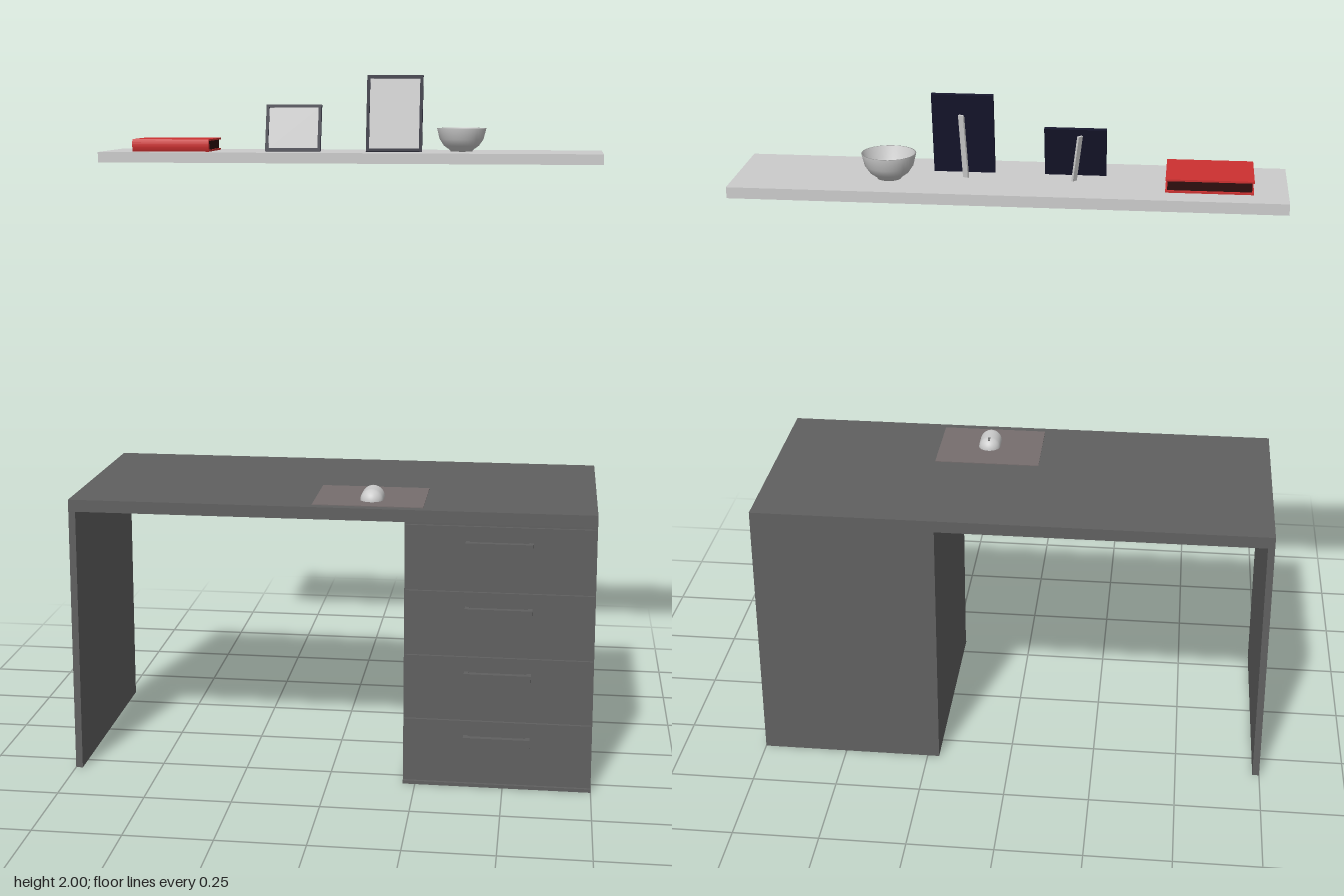
import * as THREE from 'three';

const mat = (color, side = THREE.FrontSide) => new THREE.MeshStandardMaterial({ color, side });
const grey = mat(0xcccccc);
const greyThin = mat(0xcccccc, THREE.DoubleSide);
const deskGrey = mat(0x606060);
const matGrey = mat(0x766e6e);
const red = mat(0xcc3030);
const pagesDark = mat(0x2c0a0a);
const navy = mat(0x16162c);

function add(parent, name, geometry, material) {
  const mesh = new THREE.Mesh(geometry, material);
  mesh.name = name;
  parent.add(mesh);
  return mesh;
}

// Box given by its limits on each axis
function box(parent, name, material, [x0, x1], [y0, y1], [z0, z1]) {
  const mesh = add(parent, name, new THREE.BoxGeometry(x1 - x0, y1 - y0, z1 - z0), material);
  mesh.position.set((x0 + x1) / 2, (y0 + y1) / 2, (z0 + z1) / 2);
  return mesh;
}

function group(parent, name) {
  const g = new THREE.Group();
  g.name = name;
  parent.add(g);
  return g;
}

const BACK = -0.333, FRONT = 0.31, SHELF = 1.78;

function buildDesk(root) {
  const desk = group(root, 'desk');
  box(desk, 'deskTop', deskGrey, [-0.75, 0.75], [0.775, 0.81], [BACK, FRONT]);
  box(desk, 'sidePanel', deskGrey, [-0.75, -0.73], [0, 0.775], [BACK, FRONT]);
  box(desk, 'cabinetBody', deskGrey, [0.215, 0.75], [0, 0.775], [BACK, 0.302]);
  box(desk, 'cabinetPlinth', deskGrey, [0.215, 0.75], [0, 0.01], [0.302, FRONT]);

  // Four drawers, each with a bar handle on two posts
  for (let i = 0; i < 4; i++) {
    const drawer = group(desk, 'drawer');
    const y = 0.015 + i * 0.19;
    box(drawer, 'drawerFront', deskGrey, [0.218, 0.747], [y, y + 0.183], [0.3, FRONT]);
    const h = [0.132 + i * 0.19, 0.156 + i * 0.19];
    box(drawer, 'handleBar', deskGrey, [0.387, 0.575], h, [0.318, 0.333]);
    for (const x of [0.387, 0.563]) box(drawer, 'handlePost', deskGrey, [x, x + 0.012], h, [0.308, 0.32]);
  }
}

function buildMouse(root) {
  box(root, 'mouseMat', matGrey, [-0.05, 0.265], [0.81, 0.812], [0.045, 0.285]);
  const mouse = group(root, 'mouse');
  mouse.position.set(0.112, 0.811, 0.186);
  // Capsule lying along z with its lower half pressed flat
  const body = new THREE.CapsuleGeometry(0.033, 0.044, 10, 28).rotateX(Math.PI / 2);
  const p = body.attributes.position;
  for (let i = 0; i < p.count; i++) p.setY(i, Math.max(p.getY(i), 0));
  body.computeVertexNormals();
  add(mouse, 'mouseBody', body, grey);
  const wheel = add(mouse, 'mouseWheel', new THREE.CylinderGeometry(0.008, 0.008, 0.006, 16).rotateZ(Math.PI / 2), deskGrey);
  wheel.position.set(0, 0.027, -0.032);
}

function buildBook(root) {
  const book = group(root, 'book');
  const x = [-0.635, -0.405];
  box(book, 'bottomCover', red, x, [SHELF, SHELF + 0.005], [-0.265, -0.085]);
  box(book, 'topCover', red, x, [SHELF + 0.031, SHELF + 0.036], [-0.265, -0.085]);
  box(book, 'pages', pagesDark, [x[0] + 0.005, x[1] - 0.005], [SHELF + 0.005, SHELF + 0.031], [-0.258, -0.085]);
  // Slightly rounded spine at the front
  const spine = new THREE.Shape();
  spine.moveTo(0, 0);
  spine.lineTo(0.006, 0);
  spine.quadraticCurveTo(0.014, 0.018, 0.006, 0.036);
  spine.lineTo(0, 0.036);
  const geometry = new THREE.ExtrudeGeometry(spine, { depth: x[1] - x[0], bevelEnabled: false, curveSegments: 8 });
  geometry.rotateY(-Math.PI / 2); // profile x runs to +z, depth to -x
  add(book, 'spine', geometry, red).position.set(x[1], SHELF, -0.086);
}

// Leaning picture frame with a slanted prop behind it
function buildPictureFrame(root, x, height, propTop) {
  const frame = group(root, 'pictureFrame');
  frame.position.set(x, SHELF, -0.13);
  const w = 0.165, b = 0.009, lean = 0.037;
  const panel = group(frame, 'framePanel');
  panel.rotation.x = -Math.atan2(lean, height);
  const length = Math.hypot(height, lean);

  const border = new THREE.Shape();
  border.moveTo(-w / 2, 0);
  border.lineTo(w / 2, 0);
  border.lineTo(w / 2, length);
  border.lineTo(-w / 2, length);
  const hole = new THREE.Path();
  hole.moveTo(-w / 2 + b, b);
  hole.lineTo(-w / 2 + b, length - b);
  hole.lineTo(w / 2 - b, length - b);
  hole.lineTo(w / 2 - b, b);
  border.holes.push(hole);
  add(panel, 'frameBorder', new THREE.ExtrudeGeometry(border, { depth: 0.008, bevelEnabled: false }), navy);
  box(panel, 'frameBack', navy, [-w / 2, w / 2], [0, length], [-0.003, 0.001]);
  box(panel, 'picture', grey, [-w / 2 + b, w / 2 - b], [b, length - b], [0.001, 0.004]);

  // Prop runs from the back of the panel down to the shelf
  const top = new THREE.Vector3(0.042, propTop, -lean * propTop / height - 0.004);
  const foot = new THREE.Vector3(-0.053, 0.004, -0.088);
  const prop = add(frame, 'prop', new THREE.BoxGeometry(0.016, 0.006, top.distanceTo(foot)), grey);
  prop.position.copy(top).add(foot).multiplyScalar(0.5);
  prop.lookAt(top);
}

function buildBowl(root) {
  // Outer wall up, over the rim and down the inside
  const points = [[0, 0], [0.032, 0], [0.034, 0.004], [0.052, 0.017], [0.065, 0.036], [0.073, 0.068],
    [0.069, 0.068], [0.061, 0.038], [0.048, 0.021], [0.03, 0.009], [0, 0.006]];
  const geometry = new THREE.LatheGeometry(points.map(([r, y]) => new THREE.Vector2(r, y)), 40);
  add(root, 'bowl', geometry, greyThin).position.set(0.331, SHELF, -0.205);
}

export function createModel() {
  const root = new THREE.Group();
  root.name = 'deskWithShelf';
  buildDesk(root);
  buildMouse(root);
  box(root, 'wallShelf', grey, [-0.725, 0.745], [1.75, SHELF], [BACK, -0.02]);
  buildBook(root);
  buildPictureFrame(root, -0.1625, 0.135, 0.1);
  buildPictureFrame(root, 0.1375, 0.22, 0.155);
  buildBowl(root);
  return root;
}
